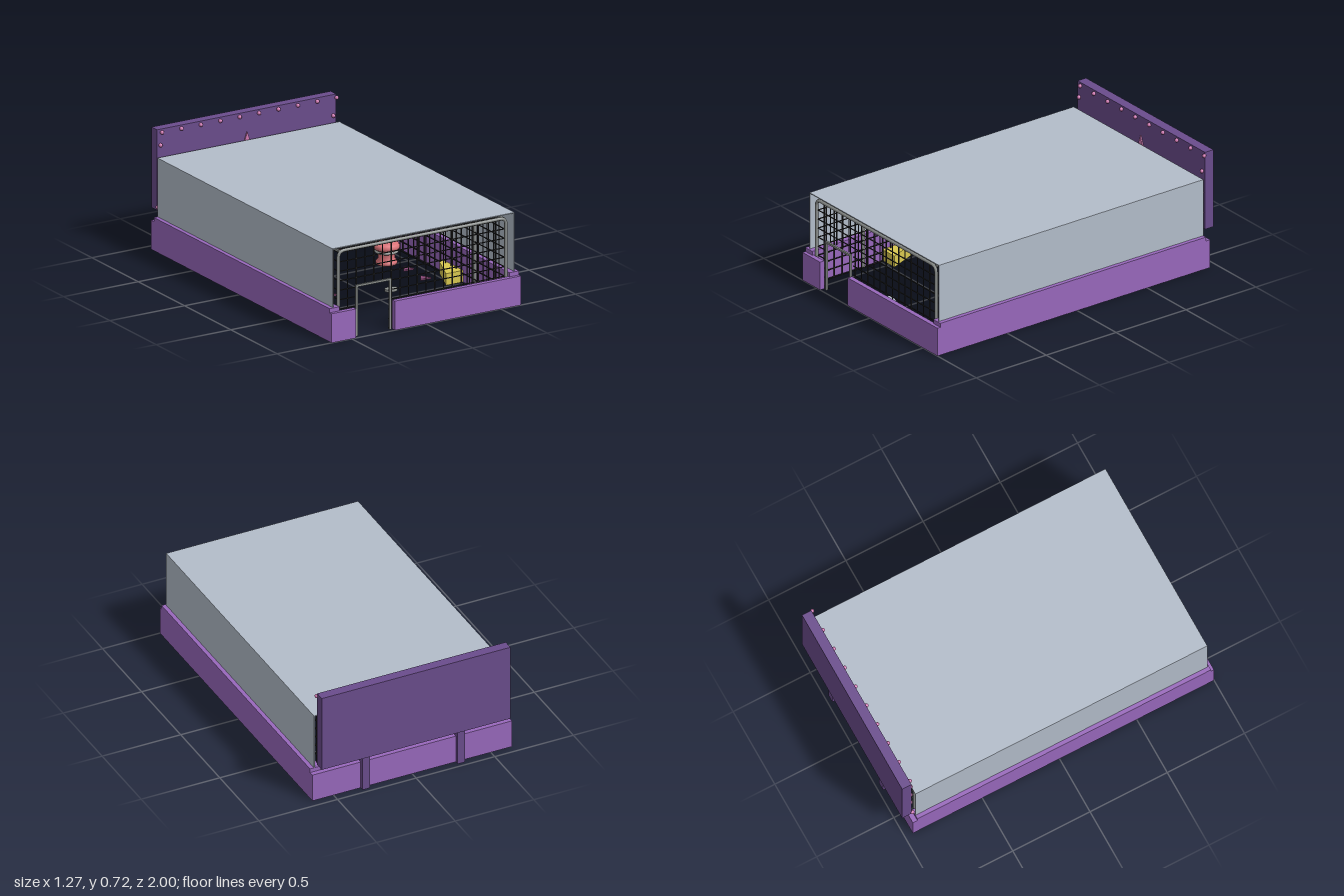
import * as THREE from 'three';
import { mergeGeometries } from 'three/addons/utils/BufferGeometryUtils.js';

const mat = (name, color, side = THREE.FrontSide) => {
  const m = new THREE.MeshStandardMaterial({ color, side });
  m.name = name;
  return m;
};

export function createModel() {
  const root = new THREE.Group();
  root.name = 'arena';
  const purple = mat('wall purple', 0x9868bc);
  const dark = mat('board purple', 0x6a4c8c);
  const pink = mat('pink', 0xd47cb6);
  const red = mat('coral red', 0xdc747a);
  const yellow = mat('yellow', 0xd9c850);
  const black = mat('wire black', 0x262626);
  const steel = mat('steel grey', 0x8c908e);
  const shell = mat('canopy grey', 0xb3bdca, THREE.DoubleSide);
  const arrowMat = mat('arrow plum', 0x8a4a78);

  const add = (name, geo, m, parent = root) => {
    const mesh = new THREE.Mesh(geo, m);
    mesh.name = name;
    parent.add(mesh);
    return mesh;
  };
  // Box given by its minimum and maximum corners
  const span = (x0, x1, y0, y1, z0, z1) =>
    new THREE.BoxGeometry(x1 - x0, y1 - y0, z1 - z0)
      .translate((x0 + x1) / 2, (y0 + y1) / 2, (z0 + z1) / 2);
  const W = 0.0025;
  // Thin wire along one axis
  const wireX = (x0, x1, y, z, w = W) => span(x0, x1, y - w, y + w, z - w, z + w);
  const wireY = (x, y0, y1, z, w = W) => span(x - w, x + w, y0, y1, z - w, z + w);
  const wireZ = (x, y, z0, z1, w = W) => span(x - w, x + w, y - w, y + w, z0, z1);

  // Perimeter walls with a doorway in the front
  for (const s of [-1, 1]) {
    const side = add('sideWall', span(-0.0325, 0.0325, 0, 0.175, -0.95, 1), purple);
    side.position.x = s * 0.6025;
    const ledge = add('sideLedge', span(-0.0325, 0.0325, 0.175, 0.2, -0.92, 0.98), purple);
    ledge.position.x = s * 0.6025;
  }
  add('frontWallLeft', span(-0.21, 0.57, 0, 0.175, 0.97, 1), purple);
  add('frontWallRight', span(-0.57, -0.47, 0, 0.175, 0.97, 1), purple);
  add('backWall', span(-0.57, 0.57, 0, 0.175, -0.95, -0.92), purple);

  // Canopy, open at both ends
  add('canopyRoof', span(-0.61, 0.61, 0.548, 0.553, -0.92, 0.97), shell);
  for (const s of [-1, 1]) {
    const wall = add('canopySide', span(-0.0025, 0.0025, 0.2, 0.55, -0.92, 0.97), shell);
    wall.position.x = s * 0.6075;
  }

  // Backboard, posts, star and studs
  add('backboard', span(-0.6, 0.6, 0.23, 0.715, -1, -0.94), dark);
  for (const x of [-0.3, 0.305])
    add('boardPost', span(x - 0.023, x + 0.023, 0, 0.3, -0.975, -0.935), dark);

  const star = new THREE.Shape();
  for (let i = 0; i < 10; i++) {
    const r = i % 2 ? 0.047 : 0.12, a = Math.PI / 2 + i * Math.PI / 5;
    star[i ? 'lineTo' : 'moveTo'](r * Math.cos(a), r * Math.sin(a));
  }
  add('star', new THREE.ExtrudeGeometry(star, { depth: 0.008, bevelEnabled: false }), pink)
    .position.set(0, 0.477, -0.94);

  const studs = [];
  const stud = (x, y) => studs.push(new THREE.SphereGeometry(0.012, 12, 8).translate(x, y, -0.934));
  for (let i = 0; i < 10; i++) {
    stud(-0.57 + i * 0.13, 0.695);
    stud(-0.6 + i * 0.13, 0.25);
  }
  for (let i = 0; i < 3; i++) {
    stud(-0.58, 0.62 - i * 0.13);
    stud(0.578, 0.59 - i * 0.13);
  }
  add('boardStuds', mergeGeometries(studs), pink);

  // Wire cage: front, back, sides and roof
  const cage = [], X = 0.555, H = 0.515, ZF = 0.95, ZB = -0.9;
  const nx = 19, ny = 9, nz = 32;
  const inDoor = x => x > -0.45 && x < -0.225;
  for (let i = 0; i <= nx; i++) {
    const x = -X + 2 * X * i / nx;
    cage.push(wireY(x, inDoor(x) ? 0.305 : 0, H, ZF), wireY(x, 0.23, H, ZB), wireZ(x, H, ZB, ZF));
  }
  for (let j = 0; j <= ny; j++) {
    const y = 0.0025 + (H - 0.0025) * j / ny;
    if (y < 0.305) cage.push(wireX(-X, -0.45, y, ZF), wireX(-0.225, X, y, ZF));
    else cage.push(wireX(-X, X, y, ZF));
    if (y > 0.23) cage.push(wireX(-X, X, y, ZB));
    for (const s of [-1, 1]) cage.push(wireZ(s * X, y, ZB, ZF));
  }
  for (let k = 0; k <= nz; k++) {
    const z = ZB + (ZF - ZB) * k / nz;
    cage.push(wireX(-X, X, H, z));
    for (const s of [-1, 1]) cage.push(wireY(s * X, 0, H, z));
  }
  add('cageMesh', mergeGeometries(cage), black);

  // Rounded tube hoops and roof rails holding the cage
  const hoop = new THREE.CurvePath();
  const v = (x, y) => new THREE.Vector3(x, y, 0);
  hoop.add(new THREE.LineCurve3(v(-0.562, 0), v(-0.562, 0.485)));
  hoop.add(new THREE.QuadraticBezierCurve3(v(-0.562, 0.485), v(-0.562, 0.525), v(-0.522, 0.525)));
  hoop.add(new THREE.LineCurve3(v(-0.522, 0.525), v(0.522, 0.525)));
  hoop.add(new THREE.QuadraticBezierCurve3(v(0.522, 0.525), v(0.562, 0.525), v(0.562, 0.485)));
  hoop.add(new THREE.LineCurve3(v(0.562, 0.485), v(0.562, 0)));
  const hoopGeo = new THREE.TubeGeometry(hoop, 140, 0.01, 8);
  for (const z of [0.955, 0.62, -0.9]) add('cageHoop', hoopGeo, steel).position.z = z;
  for (const s of [-1, 1]) add('cageRail', wireZ(s * 0.55, 0.52, -0.9, 0.955, 0.006), steel);

  // Door frame
  add('doorFrame', mergeGeometries([
    wireY(-0.45, 0, 0.305, 0.97, 0.006), wireY(-0.225, 0, 0.305, 0.97, 0.006),
    wireX(-0.456, -0.219, 0.302, 0.97, 0.006)]), steel);

  // Mushroom bumpers with a metal ring
  const profile = [[0, 0], [0.062, 0], [0.062, 0.015], [0.05, 0.03], [0.048, 0.08],
    [0.072, 0.09], [0.077, 0.105], [0.07, 0.12], [0.045, 0.128], [0, 0.128]]
    .map(p => new THREE.Vector2(...p));
  for (const [x, z] of [[-0.395, 0.06], [-0.3, -0.25], [0.376, -0.035]]) {
    const bumper = new THREE.Group();
    bumper.name = 'bumper';
    bumper.position.set(x, 0, z);
    add('bumperBody', new THREE.LatheGeometry(profile, 28), red, bumper);
    add('bumperRing', new THREE.TorusGeometry(0.062, 0.008, 8, 28).rotateX(Math.PI / 2), steel, bumper)
      .position.y = 0.075;
    root.add(bumper);
  }

  // Triangular side deflectors and floor arrows: flat shapes given as [x, z]
  const prism = (pts, h) => {
    const shape = new THREE.Shape(pts.map(([x, z]) => new THREE.Vector2(x, -z)));
    return new THREE.ExtrudeGeometry(shape, { depth: h, bevelEnabled: false }).rotateX(-Math.PI / 2);
  };
  for (const s of [-1, 1])
    add('deflector', prism([[s * 0.57, 0.27], [s * 0.57, 0.48], [s * 0.455, 0.48], [s * 0.535, 0.28]], 0.07), yellow);
  for (const [x, z] of [[-0.2, 0.285], [-0.21, 0.088], [0.414, 0.126], [0.41, 0.315]])
    add('floorArrow', prism([[x - 0.035, z + 0.02], [x + 0.035, z + 0.02], [x, z - 0.04]], 0.009), arrowMat);
  const pad = add('floorPad', new THREE.CylinderGeometry(0.04, 0.04, 0.015, 16), steel);
  pad.position.set(0.137, 0.01, 0.4);
  pad.scale.z = 0.7;

  // Ramp by the front wall and spare balls
  const ramp = add('frontRamp', span(-0.12, 0.12, 0.02, 0.05, -0.03, 0.03), shell);
  ramp.position.set(0.02, 0, 0.85);
  ramp.rotation.y = -0.39;
  const rampBase = add('rampBase', span(-0.1, 0.1, 0, 0.02, -0.025, 0.025), yellow);
  rampBase.position.copy(ramp.position);
  rampBase.rotation.copy(ramp.rotation);
  for (const [x, z, r] of [[0.278, -0.43, 0.03], [0.4, 0.88, 0.02]]) {
    add('ball', new THREE.SphereGeometry(r, 16, 12), yellow).position.set(x, r + 0.02, z);
    add('ballRing', new THREE.TorusGeometry(r, 0.005, 6, 20), steel).position.set(x, r + 0.02, z);
  }

  // Goal with net
  add('goalFrame', mergeGeometries([
    wireY(0.02, 0, 0.285, -0.38, 0.005), wireY(0.278, 0, 0.285, -0.38, 0.005),
    wireX(0.015, 0.283, 0.285, -0.38, 0.005)]), red);
  const net = [];
  for (let i = 1; i < 11; i++)
    net.push(wireY(0.02 + 0.258 * i / 11, 0, 0.285, -0.385, 0.0015), wireX(0.02, 0.278, 0.285 * i / 11, -0.385, 0.0015));
  add('goalNet', mergeGeometries(net), black);

  // Goalkeeper target with its paddle
  add('keeperBody', new THREE.CylinderGeometry(0.012, 0.018, 0.16, 10), red).position.set(0.15, 0.1, -0.48);
  add('keeperHead', new THREE.SphereGeometry(0.026, 14, 10), red).position.set(0.15, 0.22, -0.48);
  add('keeperArms', span(0.105, 0.195, 0.15, 0.165, -0.488, -0.472), red);
  const paddle = add('keeperPaddle', new THREE.BoxGeometry(0.03, 0.13, 0.012), shell);
  paddle.position.set(0.107, 0.15, -0.54);
  paddle.rotation.z = 0.4;

  // Hanging bar near the back
  const bar = add('hangingBar', new THREE.BoxGeometry(0.11, 0.016, 0.03), steel);
  bar.position.set(0.147, 0.495, -0.8);
  bar.rotation.z = -0.03;

  return root;
}
